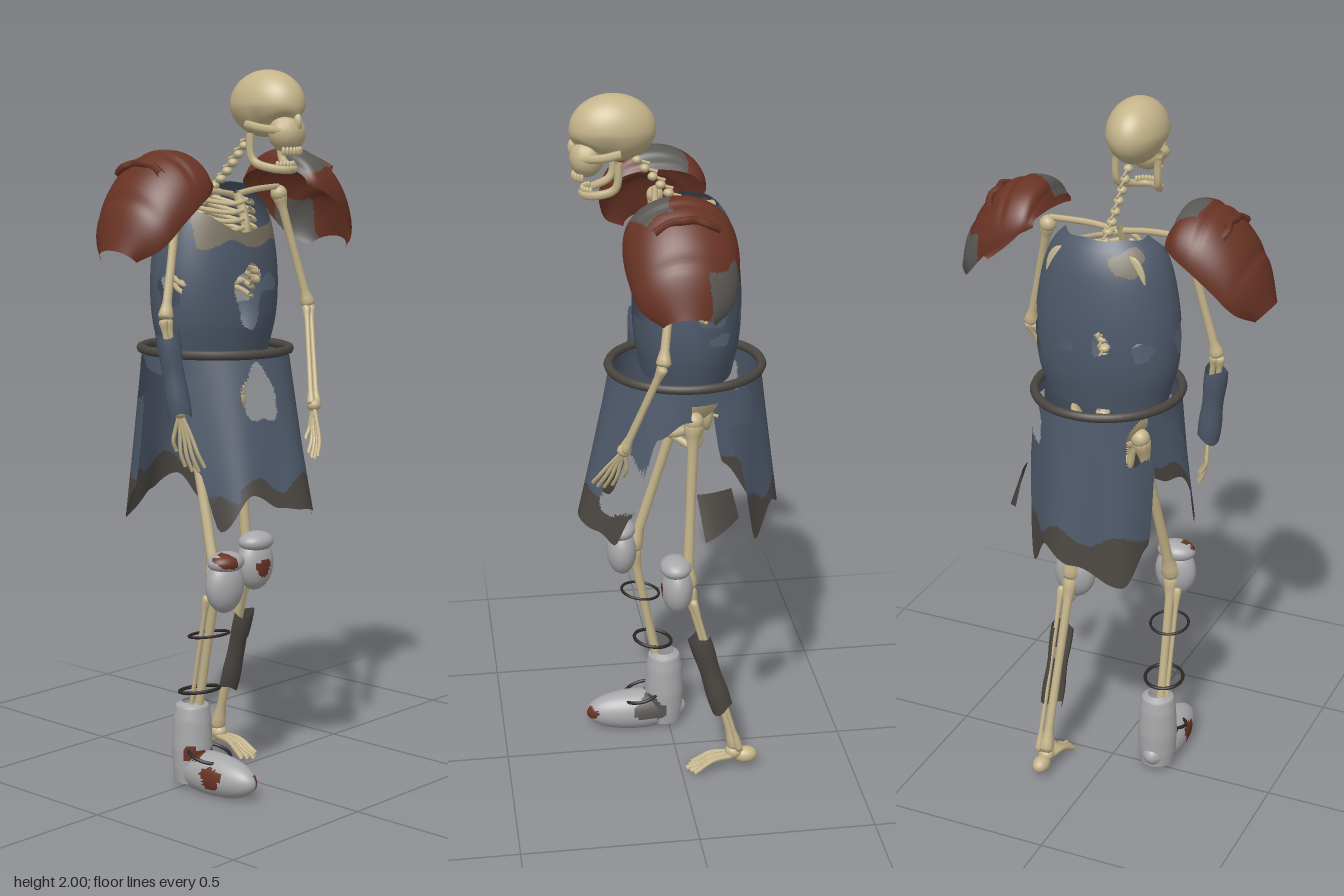
import * as THREE from 'three';

const mat = (name, color) => Object.assign(new THREE.MeshStandardMaterial({ color, side: THREE.DoubleSide }), { name });
const V = (x, y, z) => new THREE.Vector3(x, y, z);
const { sin, cos, PI, abs, hypot } = Math;

export function createModel() {
  const bone = mat('bone', 0xc4b48a), rust = mat('rust leather', 0x683324), blue = mat('blue cloth', 0x4e596a);
  const dark = mat('dark cloth', 0x4a4641), grey = mat('worn grey', 0x5a5854), pale = mat('pale metal', 0xa8a8aa);
  const black = mat('black strap', 0x2b2725), tan = mat('worn tan', 0x7b7364);
  const root = new THREE.Group();
  root.name = 'armouredSkeleton';

  const add = (name, geo, m, parent = root) => {
    const mesh = new THREE.Mesh(geo, m);
    mesh.name = name;
    parent.add(mesh);
    return mesh;
  };
  const group = (name) => {
    const g = new THREE.Group();
    g.name = name;
    root.add(g);
    return g;
  };
  // Surface from f(u, v); pick(x, y, z) gives a material index, or -1 for a hole
  const grid = (f, nu, nv, closed, pick = () => 0, count = 1) => {
    const pos = [], lists = Array.from({ length: count }, () => []), w = closed ? nu : nu + 1;
    for (let j = 0; j <= nv; j++) for (let i = 0; i < w; i++) pos.push(...f(i / nu, j / nv));
    const mid = (a, b, c, k) => (pos[a * 3 + k] + pos[b * 3 + k] + pos[c * 3 + k]) / 3;
    for (let j = 0; j < nv; j++) for (let i = 0; i < nu; i++) {
      const a = j * w + i, b = j * w + (i + 1) % w, c = a + w, d = b + w;
      for (const t of [[a, b, d], [a, d, c]]) {
        const k = pick(mid(...t, 0), mid(...t, 1), mid(...t, 2));
        if (k >= 0) lists[k].push(...t);
      }
    }
    const g = new THREE.BufferGeometry();
    g.setAttribute('position', new THREE.Float32BufferAttribute(pos, 3));
    g.setIndex(lists.flat());
    let start = 0;
    lists.forEach((l, k) => { g.addGroup(start, l.length, k); start += l.length; });
    g.computeVertexNormals();
    return g;
  };
  const noise = (x, y, z) => sin(x * 41 + y * 23) * 0.5 + sin(z * 47 - y * 37 + x * 31) * 0.5;
  // Rounded irregular patch around (ca, cb)
  const blob = (a, b, ca, cb, ra, rb) => {
    const p = (a - ca) / ra, q = (b - cb) / rb, t = Math.atan2(q, p);
    return hypot(p, q) < 1 + 0.13 * sin(t * 3 + ca * 50) + 0.07 * sin(t * 5);
  };
  const along = (mesh, a, b) => {
    mesh.position.copy(a).lerp(b, 0.5);
    mesh.quaternion.setFromUnitVectors(V(0, 1, 0), b.clone().sub(a).normalize());
    return mesh;
  };
  // Long bone with knobbed ends
  const limb = (name, a, b, r, parent, knob = 1.7) => {
    const L = a.distanceTo(b), p = [[0, -.5], [knob * .8, -.495], [knob, -.47], [knob * .85, -.43], [1, -.36], [.9, 0],
      [1, .36], [knob * .85, .43], [knob, .47], [knob * .8, .495], [0, .5]];
    return along(add(name, new THREE.LatheGeometry(p.map(q => new THREE.Vector2(q[0] * r, q[1] * L)), 10), bone, parent), a, b);
  };
  const tube = (name, pts, r, m, parent, n = 16) =>
    add(name, new THREE.TubeGeometry(new THREE.CatmullRomCurve3(pts), n, r, 6), m, parent);
  const ball = (name, p, s, m, parent) => {
    const b = add(name, new THREE.SphereGeometry(1, 16, 10), m, parent);
    b.position.copy(p);
    b.scale.set(...s);
    return b;
  };

  // Skull: cranium with pressed eye sockets, upper jaw, cheeks and hanging lower jaw
  const head = group('skull');
  add('cranium', grid((u, v) => {
    const a = u * 2 * PI, b = v * PI;
    let x = sin(b) * sin(a), y = cos(b), z = sin(b) * cos(a);
    const low = Math.max(0, -y);
    x *= .082 * (1 - .3 * low * (z > 0 ? 1 : .5));
    y = 1.905 + y * (y < 0 ? .085 : .095);
    const eye = Math.exp(-(((abs(x) - .034) / .018) ** 2) - ((y - 1.865) / .016) ** 2);
    return [x, y, .164 + z * .116 - (z > 0 ? .022 * eye : 0)];
  }, 56, 40, true), bone, head);
  ball('upperJaw', V(0, 1.832, .234), [.056, .052, .047], bone, head);
  ball('noseBone', V(0, 1.86, .27), [.012, .025, .014], bone, head);
  for (let i = -4; i <= 4; i++) {
    const a = i * .28;
    ball('upperTooth', V(sin(a) * .036, 1.784, .235 + cos(a) * .035), [.006, .012, .006], bone, head);
    ball('lowerTooth', V(sin(a) * .034, 1.748, .212 + cos(a) * .035), [.006, .01, .006], bone, head);
  }
  tube('lowerJaw', [V(-.062, 1.83, .155), V(-.06, 1.76, .165), V(-.042, 1.738, .22), V(0, 1.735, .248), V(.042, 1.738, .22),
    V(.06, 1.76, .165), V(.062, 1.83, .155)], .0115, bone, head, 32);
  for (const s of [-1, 1]) {
    tube('cheekBone', [V(s * .069, 1.855, .15), V(s * .067, 1.845, .2), V(s * .04, 1.838, .25)], .012, bone, head);
  }

  // Spine and rib cage
  const cage = group('ribCage');
  const spine = new THREE.CatmullRomCurve3([V(0, 1.08, -.09), V(0, 1.3, -.05), V(0, 1.5, -.09), V(0, 1.64, -.075),
    V(0, 1.72, .01), V(0, 1.82, .1)]);
  for (let i = 0; i <= 26; i++) {
    const p = spine.getPointAt(i / 26), r = .021 - i * .0003;
    ball('vertebra', p, [r, .012, r], bone, cage);
    const spur = limb('spinousProcess', p, p.clone().add(V(0, -.012, -.034)), .005, cage, 1.2);
    spur.scale.x = .7;
  }
  for (let i = 0; i < 12; i++) for (const s of [-1, 1]) {
    const y = 1.675 - i * .024, w = .065 + .058 * sin((i + 1) / 12 * PI * .7), e = i > 9 ? .35 : 1;
    tube('rib', [V(0, y, -.085), V(s * w * .6, y + .004, -.115), V(s * w, y - .015, -.05), V(s * w * .85, y - .03, .03 * e),
      V(s * w * (e < 1 ? .8 : .45), y - .035, .078 * e), V(s * (e < 1 ? .08 : .012), y - .028, .088 * e)], .0075, bone, cage, 20);
  }
  tube('breastBone', [V(0, 1.665, .055), V(0, 1.58, .085), V(0, 1.47, .085)], .013, bone, cage);

  // Shoulder bones, arms and hands
  const arms = { 1: [V(.205, 1.66, .025), V(.285, 1.34, .07), V(.2, 1.07, .165), V(.145, .93, .215)],
    [-1]: [V(-.205, 1.66, .025), V(-.285, 1.34, .055), V(-.255, 1.09, .08), V(-.235, .92, .095)] };
  for (const s of [-1, 1]) {
    const g = group(s > 0 ? 'leftArm' : 'rightArm'), [sh, el, wr, tip] = arms[s];
    tube('collarBone', [V(s * .012, 1.665, .045), V(s * .09, 1.675, .04), V(s * .2, 1.68, .025)], .009, bone, g);
    ball('shoulderBlade', V(s * .1, 1.59, -.115), [.045, .07, .008], bone, g);
    ball('shoulderJoint', sh, [.024, .024, .024], bone, g);
    limb('upperArm', sh, el, .0125, g);
    for (const d of [-1, 1]) limb('forearm', el.clone().add(V(d * .009, 0, 0)), wr.clone().add(V(d * .011, 0, 0)), .008, g);
    const dir = tip.clone().sub(wr), side = V(s * .3, 0, -.7).normalize();
    ball('wrist', wr, [.02, .018, .02], bone, g);
    for (let i = 0; i < 5; i++) {
      const f = (i - 2) * .011, len = i === 4 ? .65 : 1 - abs(i - 1.5) * .07;
      tube('finger', [wr.clone(), wr.clone().addScaledVector(dir, .45 * len).addScaledVector(side, f),
        wr.clone().addScaledVector(dir, .75 * len).addScaledVector(side, f * 1.5),
        wr.clone().addScaledVector(dir, len).addScaledVector(side, f * 1.7).add(V(-s * .012, 0, 0))], .0055, bone, g);
    }
  }
  // Straight torn sleeve wrapped around a limb
  const wrap = (name, a, b, r, m, arc, turn) => {
    const L = a.distanceTo(b);
    return along(add(name, grid((u, v) => {
      const t = turn + (u - .5) * arc, q = r * (1 + .06 * sin(v * 9));
      return [q * sin(t), (v - .5) * L * (1 + .08 * sin(t * 2)), q * cos(t)];
    }, 40, 24, false, (x, y, z) => blob(x, y, r * .5, .03, .01, .02) && z > 0 ? -1 : 0), m), a, b);
  };
  wrap('bracer', V(-.255, 1.08, .08), V(-.283, 1.3, .06), .031, blue, 6.2, PI);
  wrap('greave', V(.147, .21, -.12), V(.139, .45, -.05), .032, dark, 4.4, .6);

  // Pelvis and legs
  const hips = group('pelvis');
  ball('sacrum', V(0, 1.09, -.09), [.04, .06, .02], bone, hips);
  for (const s of [-1, 1]) {
    const wing = ball('hipBone', V(s * .075, 1.13, -.06), [.016, .05, .065], bone, hips);
    wing.rotation.set(0, s * .5, -s * .4);
    tube('pubicArch', [V(s * .095, 1.08, -.04), V(s * .06, 1.05, .015), V(0, 1.045, .03)], .013, bone, hips);
    tube('seatBone', [V(s * .085, 1.07, -.06), V(s * .07, 1.01, -.05), V(s * .03, 1.035, .015)], .011, bone, hips);
  }
  const spheroid = (c, r, pick, count) => grid((u, v) => {
    const a = u * 2 * PI, b = v * PI;
    return [c.x + r[0] * sin(b) * sin(a), c.y + r[1] * cos(b), c.z + r[2] * sin(b) * cos(a)];
  }, 40, 30, true, pick, count);
  const legs = { 1: [V(.1, 1.1, -.04), V(.125, .6, -.02), V(.148, .07, -.16)],
    [-1]: [V(-.1, 1.1, -.04), V(-.14, .6, .105), V(-.14, .12, .015)] };
  for (const s of [-1, 1]) {
    const g = group(s > 0 ? 'leftLeg' : 'rightLeg'), [hip, knee, ankle] = legs[s];
    ball('hipJoint', hip, [.027, .027, .027], bone, g);
    limb('thighBone', hip, knee, .0155, g, 1.8);
    limb('shinBone', knee, ankle, .0135, g, 1.7);
    limb('calfBone', knee.clone().add(V(s * .025, -.03, -.012)), ankle.clone().add(V(s * .02, 0, -.01)), .007, g);
    // Knee guard with rust stains
    const c = V(knee.x, .603, s > 0 ? .01 : .137);
    const worn = (x, y, z) => z > c.z && (s > 0 ? blob(x, y, .118, .595, .026, .026) : blob(x, y, -.165, .675, .026, .02)) ? 1 : 0;
    add('kneeGuard', spheroid(c, [.062, .078, .045], worn, 2), [pale, rust], g);
    add('kneeGuardTop', spheroid(V(c.x, .667, c.z + .004), [.057, .03, .045], worn, 2), [pale, rust], g);
  }
  // Bare foot
  const foot = group('leftFoot');
  ball('heel', V(.148, .045, -.19), [.025, .025, .035], bone, foot);
  ball('ankle', V(.148, .06, -.155), [.024, .022, .026], bone, foot);
  for (let i = -2; i <= 2; i++) tube('toe', [V(.148 + i * .006, .05, -.15), V(.148 + i * .011, .045, -.09),
    V(.148 + i * .014, .022, -.05), V(.148 + i * .015, .012, -.015 - abs(i) * .01)], .0085, bone, foot);

  // Boot with stains and a strap
  const boot = group('rightBoot');
  const stain = (x, y, z) => blob(z, y, .235, .06, .018, .018) && x > -.135 ? 1 : blob(z, y, .06, .075, .05, .035) && x > -.13 ? 2
    : x < -.15 && (blob(z, y, .13, .06, .035, .03) || blob(z, y, .05, .11, .025, .02)) ? 1 : 0;
  add('bootFoot', grid((u, v) => {
    const a = u * 2 * PI, b = v * PI;
    return [-.14 + .058 * sin(b) * sin(a), Math.max(.004, .055 + .062 * sin(b) * cos(a)), .098 - .152 * cos(b)];
  }, 40, 40, true, stain, 3), [pale, rust, grey], boot);
  const shaft = [[.05, .02], [.055, .06], [.058, .12], [.054, .2], [.047, .24], [.03, .25]];
  add('bootShaft', grid((u, v) => {
    const q = v * 5, i = Math.min(4, Math.floor(q)), f = q - i, a = u * 2 * PI;
    const r = shaft[i][0] * (1 - f) + shaft[i + 1][0] * f;
    return [-.14 + r * sin(a), shaft[i][1] * (1 - f) + shaft[i + 1][1] * f, .012 + r * cos(a)];
  }, 40, 30, true, stain, 3), [pale, rust, grey], boot);
  const hoop = (name, x, y, z, rx, rz, r, m, tilt) => {
    const t = add(name, new THREE.TorusGeometry(1, r / rx, 8, 64), m);
    t.rotation.x = PI / 2 + tilt;
    t.scale.set(rx, rz, rx);
    t.position.set(x, y, z);
  };
  hoop('bootStrap', -.14, .11, .08, .06, .06, .005, black, .25);
  hoop('upperAnklet', -.145, .455, .082, .056, .056, .004, black, -.15);
  hoop('lowerAnklet', -.145, .29, .045, .056, .056, .005, black, -.15);

  // Torn chest armour with a deep open neckline
  const side = new THREE.CatmullRomCurve3([V(.175, 1.225, .125), V(.2, 1.32, .144), V(.206, 1.42, .15), V(.196, 1.52, .145),
    V(.175, 1.61, .13), V(.15, 1.66, .11), V(.115, 1.695, .085)]);
  add('chestArmour', grid((u, v) => {
    const a = u * 2 * PI, front = Math.max(0, cos(a)) ** .65;
    const p = side.getPoint(v * (.985 - .405 * front + .01 * sin(a * 7)));
    return [p.x * sin(a), p.y, -.032 + p.z * cos(a)];
  }, 160, 100, true, (x, y, z) => {
    if (z > 0 && (blob(x, y, -.015, 1.39, .048, .09) || blob(x, y, .065, 1.42, .05, .024))) return -1;
    if (x > .1 && (blob(z, y, -.08, 1.435, .038, .032) || blob(z, y, -.1, 1.365, .03, .018))) return -1;
    if (x < -.15 && blob(z, y, -.01, 1.41, .04, .045)) return -1;
    if (z < -.08 && (blob(x, y, -.04, 1.42, .024, .032) || blob(x, y, .07, 1.41, .03, .028) || blob(x, y, -.145, 1.4, .025, .03))) return -1;
    if (z > 0 && y > 1.53 + .015 * noise(x, y, z) && y < 1.62 && abs(x) < .16) return 1;
    return z < -.09 && blob(x, y, -.095, 1.64, .04, .035) ? 1 : 0;
  }, 2), [blue, tan]);

  // Waist ring and ragged skirt
  hoop('waistRing', 0, 1.235, -.03, .202, .212, .013, dark, 0);
  const hem = [[-180, .8], [-145, .74], [-127, .84], [-115, 1.13], [-95, 1.17], [-76, 1.08], [-66, .92], [-54, .76],
    [-32, .86], [-12, .82], [6, .81], [30, .79], [46, .765], [56, .86], [66, 1.09], [85, 1.14], [110, 1.16],
    [122, 1.02], [138, .75], [158, .84], [180, .8]];
  const hemAt = (d) => {
    const i = Math.max(1, hem.findIndex(h => h[0] >= d)), [a, b] = [hem[i - 1], hem[i]];
    return a[1] + (b[1] - a[1]) * THREE.MathUtils.smoothstep(d, a[0], b[0]);
  };
  add('skirt', grid((u, v) => {
    const d = u * 360 - 180, a = d * PI / 180, y = 1.23 + (hemAt(d) - 1.23) * v, t = (1.23 - y) / .45;
    const r = 1 + .04 * t * sin(a * 7);
    return [(.2 + .03 * t) * r * sin(a), y, -.03 + .026 * t + (.21 + .074 * t) * r * cos(a)];
  }, 180, 80, true, (x, y, z) => {
    if (z > 0 && (blob(x, y, -.058, 1.125, .05, .075) || blob(x, y, .155, .94, .06, .09))) return -1;
    if (z < -.02 && (blob(x, y, -.165, 1.15, .04, .06) || blob(x, y, .165, 1.16, .042, .055))) return -1;
    return y < .885 + .025 * noise(x, 0, z) - (z > 0 && x < -.15 ? .03 : 0) ? 1 : 0;
  }, 2), [blue, dark]);
  // Curled scrap at the front edge of the back panel
  add('skirtScrap', grid((u, v) => [.225 + (.03 + .025 * v) * (1 - u * u) + .012 * v, .95 - .13 * v * (1 - .35 * u),
    -.025 - .1 * u - .02 * v], 10, 8, false), dark);

  // Domed shoulder guards with worn patches and a raised crest
  const ridge = new THREE.CatmullRomCurve3([[.187, 1.735], [.21, 1.78], [.28, 1.785], [.36, 1.73], [.42, 1.64], [.455, 1.53]].map(p => V(p[0], p[1], 0)));
  const rim = new THREE.CatmullRomCurve3([[.19, 1.69, .12], [.225, 1.672, .142], [.27, 1.645, .15], [.325, 1.6, .145], [.385, 1.535, .12],
    [.425, 1.5, .065]].map(p => V(...p)));
  for (const s of [-1, 1]) {
    const g = group(s > 0 ? 'leftShoulderGuard' : 'rightShoulderGuard');
    add('shoulderShell', grid((u, v) => {
      const a = (u - .5) * PI, p = ridge.getPoint(v), e = rim.getPoint(v), k = 1 - .05 * Math.max(0, sin(v * 19)) ** 6;
      return [s * (e.x + (p.x - e.x) * cos(a) * k), e.y + (p.y - e.y) * cos(a) * k, .022 + e.z * sin(a)];
    }, 60, 60, false, (x, y, z) => {
      const n = .012 * noise(x, y, z), X = abs(x);
      if (s > 0) return (X < .305 + n && z > .04 + n) && y > 1.725 + n || (X > .35 && z < -.03 + n && y < 1.64 + n) ? 1 : 0;
      return X < .27 + n && abs(z) < .06 + n ? 1 : 0;
    }, 2), [rust, grey], g);
    tube('crest', [-.07, -.04, -.01, .025, .06, .1].map((z, i) => V(s * (.335 + (i % 2) * .008), 1.755 - abs(z - .015) ** 2 * 4, z)), .011, rust, g);
  }
  return root;
}
